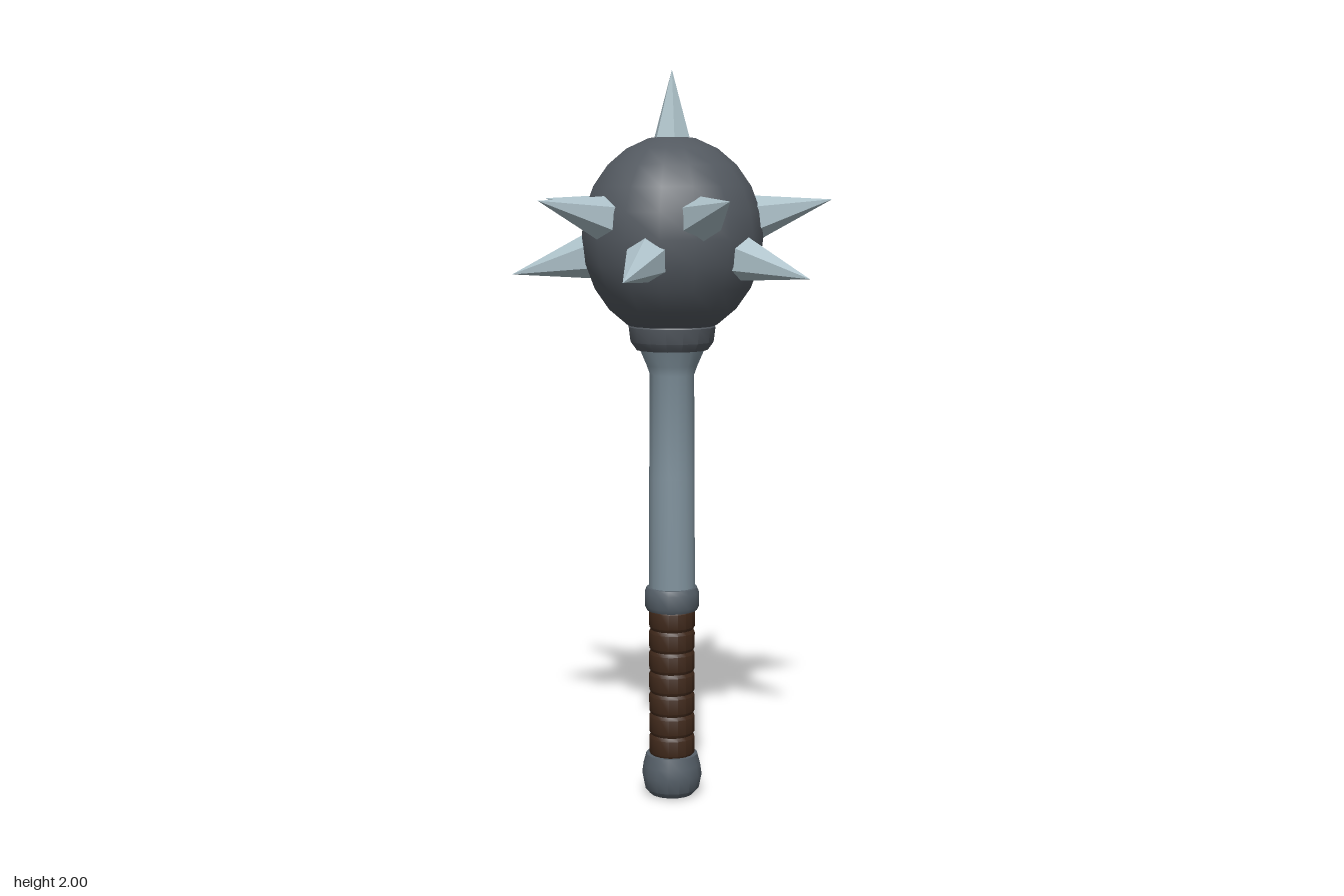
import * as THREE from 'three';
import { toCreasedNormals } from 'three/addons/utils/BufferGeometryUtils.js';

const material = (name, color) => {
  const m = new THREE.MeshStandardMaterial({ color });
  m.name = name;
  return m;
};

export function createModel() {
  const darkIron = material('darkIron', 0x535960);
  const blueIron = material('blueIron', 0x566069);
  const steel = material('steel', 0x81939e);
  const brightSteel = material('brightSteel', 0xacc0c8);
  const leather = material('leather', 0x40291b);

  const model = new THREE.Group();
  model.name = 'spikedMace';

  const add = (name, geometry, mat, parent = model) => {
    const mesh = new THREE.Mesh(geometry, mat);
    mesh.name = name;
    parent.add(mesh);
    return mesh;
  };

  // Turned part from [radius, height] pairs, listed bottom to top
  const turned = (name, profile, mat, crease = 0.6) => {
    const points = profile.map(([r, y]) => new THREE.Vector2(r, y));
    return add(name, toCreasedNormals(new THREE.LatheGeometry(points, 16), crease), mat);
  };

  // Handle
  turned('pommel', [[0, 0], [0.062, 0.004], [0.076, 0.02], [0.084, 0.06], [0.08, 0.088], [0.072, 0.118], [0, 0.12]], blueIron);

  const wraps = 7, gripBottom = 0.115, gripTop = 0.535;
  const step = (gripTop - gripBottom) / wraps;
  const grip = [];
  for (let i = 0; i < wraps; i++) {
    const y = gripBottom + i * step;
    grip.push([0.059, y], [0.064, y + step * 0.15], [0.064, y + step * 0.85]);
  }
  grip.push([0.059, gripTop]);
  turned('grip', grip, leather);

  turned('gripRing', [[0.055, 0.53], [0.07, 0.53], [0.076, 0.542], [0.076, 0.58], [0.07, 0.594], [0.055, 0.596]], blueIron);
  turned('shaft', [[0.064, 0.57], [0.063, 0.9], [0.061, 1.185], [0.07, 1.21], [0.094, 1.265]], steel);
  turned('collar', [[0.05, 1.253], [0.098, 1.253], [0.114, 1.275], [0.119, 1.315], [0.112, 1.328], [0.05, 1.335]], darkIron);

  // Slightly tall head
  const centreY = 1.557;
  const head = new THREE.Group();
  head.name = 'head';
  head.position.y = centreY;
  model.add(head);
  add('ball', new THREE.SphereGeometry(0.247, 16, 12).scale(1, 1.1, 1), darkIron, head);

  // Six-sided spikes: one on top, ten around tilted alternately down and up
  const tip = 0.443, base = 0.19, slope = 0.285;
  const spikeGeometry = toCreasedNormals(
    new THREE.ConeGeometry((tip - base) * slope, tip - base, 6, 1, false, Math.PI / 2)
      .translate(0, (tip + base) / 2, 0), 0.1);
  add('topSpike', spikeGeometry, brightSteel, head);

  for (let i = 0; i < 10; i++) {
    const tilt = (i % 2 ? 1 : -1) * Math.atan2(0.1, 0.43);
    const arm = new THREE.Group();
    arm.name = 'sideSpike' + (i + 1);
    arm.rotation.y = (i * Math.PI) / 5;
    head.add(arm);
    add('spike', spikeGeometry, brightSteel, arm).rotation.z = tilt - Math.PI / 2;
  }

  return model;
}
